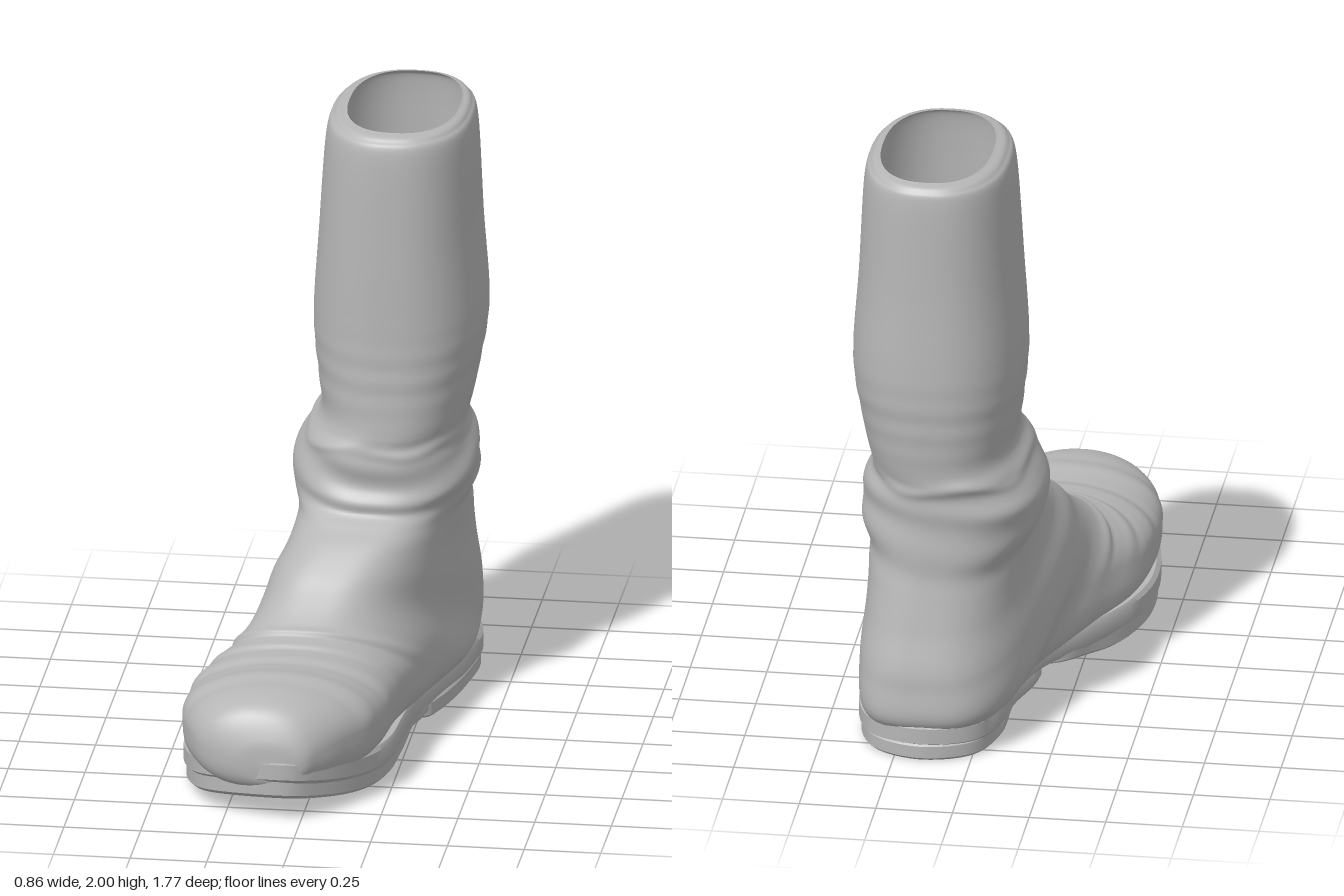
import * as THREE from 'three';
import { toCreasedNormals } from 'three/addons/utils/BufferGeometryUtils.js';

const grey = new THREE.MeshStandardMaterial({ color: 0xb6b6b6, side: THREE.DoubleSide });
grey.name = 'grey leather';

// Shaft rings: [y, z front, z back, x centre, half width]
const SHAFT = [
  [2.0, -0.18, -0.75, 0.16, 0.18],
  [1.985, -0.14, -0.785, 0.155, 0.215],
  [1.92, -0.115, -0.803, 0.153, 0.24],
  [1.6, -0.105, -0.815, 0.15, 0.26],
  [1.3, -0.1, -0.83, 0.15, 0.278],
  [1.1, -0.095, -0.82, 0.145, 0.255],
  [1.0, -0.09, -0.81, 0.14, 0.24],
  [0.93, -0.085, -0.805, 0.115, 0.25],
  [0.87, -0.085, -0.8, 0.108, 0.278],
  [0.78, -0.075, -0.8, 0.105, 0.3],
];
// Foot sections fan round the ankle:
// [y, z, x of the instep end | y, z, x of the heel or sole end | half width, squareness of each end]
const FOOT = [
  [0.71, -0.045, 0.08, 0.62, -0.805, 0.135, 0.262, 2.7, 2.5],
  [0.65, 0.05, 0.04, 0.44, -0.836, 0.155, 0.255, 2.8, 2.9],
  [0.59, 0.125, 0.0, 0.26, -0.872, 0.165, 0.27, 2.8, 3.1],
  [0.53, 0.19, -0.03, 0.1, -0.843, 0.165, 0.275, 2.7, 3.3],
  [0.475, 0.26, -0.06, 0.08, -0.5, 0.15, 0.28, 2.5, 3.8],
  [0.435, 0.33, -0.08, 0.08, -0.1, 0.03, 0.3, 2.2, 3.8],
  [0.415, 0.4, -0.09, 0.08, 0.2, -0.07, 0.322, 2.1, 3.8],
  [0.405, 0.5, -0.1, 0.08, 0.45, -0.1, 0.325, 2.05, 3.7],
  [0.41, 0.61, -0.11, 0.09, 0.62, -0.11, 0.305, 2.05, 3.5],
  [0.395, 0.74, -0.125, 0.1, 0.74, -0.125, 0.25, 2.05, 3.2],
  [0.36, 0.82, -0.13, 0.1, 0.82, -0.13, 0.19, 2.1, 2.6],
  [0.28, 0.865, -0.11, 0.13, 0.865, -0.11, 0.115, 2.1, 2.3],
  [0.2, 0.877, -0.1, 0.19, 0.877, -0.1, 0.01, 2, 2],
];

const smooth = THREE.MathUtils.smoothstep;
const bump = (v, mid, half) => Math.exp(-(((v - mid) / half) ** 2));

// Fractional swelling for leather folds, toe creases and the heel counter
function folds(p, a) {
  const ankle = smooth(p.y, 0.6, 0.7) * (1 - smooth(p.y, 0.92, 0.98));
  const slant = p.y + 0.05 * Math.cos(a) + 0.03 * Math.sin(2 * a + 1);
  let s = 0.022 * ankle * Math.sin(slant * 48) * (0.7 + 0.3 * Math.sin(3 * a + 2));
  s += 0.025 * bump(p.y + 0.012 * Math.sin(5 * a), 0.925, 0.022);
  s += 0.004 * bump(p.y, 1.18, 0.12) * Math.sin(p.y * 70 + 2 * Math.cos(a));
  const top = smooth(Math.cos(a), -0.2, 0.6);
  const across = p.z - 0.25 * p.x;
  for (const z of [0.03, 0.22, 0.4, 0.62]) {
    s += top * (1 - smooth(p.y, 0.66, 0.72)) * (0.02 * bump(across, z, 0.04) - 0.018 * bump(across, z + 0.07, 0.028));
  }
  const seam = -0.24 - (p.y - 0.18) * 0.8 - p.z;
  return s + 0.03 * smooth(seam, 0, 0.03) * (1 - smooth(p.y, 0.45, 0.65));
}

// Closed rings of points, listed in order, joined into a surface
function joinRings(pos, sides) {
  const index = [], rings = pos.length / 3 / sides;
  for (let i = 0; i < rings - 1; i++) {
    for (let j = 0; j < sides; j++) {
      const k = i * sides, n = (j + 1) % sides;
      index.push(k + j, k + sides + j, k + n, k + n, k + sides + j, k + sides + n);
    }
  }
  const geo = new THREE.BufferGeometry();
  geo.setAttribute('position', new THREE.Float32BufferAttribute(pos, 3));
  geo.setIndex(index);
  geo.computeVertexNormals();
  return geo;
}

function bootUpper() {
  const rows = [...SHAFT.map(([y, f, b, x, w]) => [y, f, x, y, b, x, w, 2.4, 2.4]), ...FOOT];
  const curve = (f) => new THREE.CatmullRomCurve3(rows.map(f), false, 'catmullrom', 0.5);
  const inner = curve((r) => new THREE.Vector3(r[2], r[0], r[1]));
  const outer = curve((r) => new THREE.Vector3(r[5], r[3], r[4]));
  const form = curve((r) => new THREE.Vector3(r[6], r[7], r[8]));
  const rings = 264, sides = 96, pos = [];
  for (let i = 0; i <= rings; i++) {
    const A = inner.getPoint(i / rings), B = outer.getPoint(i / rings), F = form.getPoint(i / rings);
    const mid = A.clone().add(B).multiplyScalar(0.5), half = A.clone().sub(mid);
    for (let j = 0; j < sides; j++) {
      const a = (j / sides) * Math.PI * 2, c = Math.cos(a), s = Math.sin(a);
      const e = 2 / (c > 0 ? F.y : F.z);
      const offset = half.clone().multiplyScalar(Math.sign(c) * Math.abs(c) ** e);
      offset.x += F.x * Math.sign(s) * Math.abs(s) ** e;
      const p = mid.clone().add(offset);
      p.copy(mid).addScaledVector(offset, 1 + folds(p, a));
      pos.push(p.x, p.y, p.z);
    }
  }
  return joinRings(pos, sides);
}

// Plan outlines as [x, z], anticlockwise from above
const WELT = [
  [0.16, -0.875], [-0.01, -0.815], [-0.08, -0.64], [-0.09, -0.4], [-0.15, -0.2], [-0.28, 0], [-0.385, 0.2],
  [-0.43, 0.4], [-0.41, 0.6], [-0.33, 0.78], [-0.18, 0.86], [-0.03, 0.88], [0.08, 0.78], [0.18, 0.6],
  [0.235, 0.4], [0.25, 0.2], [0.265, 0], [0.31, -0.2], [0.375, -0.45], [0.39, -0.66], [0.325, -0.815],
];
const TREAD = [
  [-0.17, -0.13], [-0.28, 0.02], [-0.38, 0.2], [-0.42, 0.4], [-0.4, 0.6], [-0.32, 0.77], [-0.175, 0.85],
  [-0.035, 0.865], [0.07, 0.77], [0.17, 0.6], [0.225, 0.4], [0.24, 0.2], [0.25, 0], [0.28, -0.13],
];
const HEEL = [
  [0.16, -0.865], [0.0, -0.805], [-0.07, -0.64], [-0.08, -0.4], [-0.13, -0.2], [-0.12, -0.13],
  [0.27, -0.13], [0.31, -0.2], [0.37, -0.45], [0.382, -0.66], [0.315, -0.805],
];

// Slab between two heights, bent up at the toe and, for the tread, under the arch
function slab(outline, y0, y1, bevel, arch = 0) {
  const points = outline.map(([x, z]) => new THREE.Vector3(x, 0, z));
  const centre = points.reduce((sum, p) => sum.add(p), new THREE.Vector3()).divideScalar(points.length);
  const sides = 110, rim = new THREE.CatmullRomCurve3(points, true).getPoints(sides).slice(0, sides);
  // Each profile step is [share of the outline, height]
  const steps = [0, 0.2, 0.4, 0.6, 0.8, 0.97];
  const profile = [
    ...steps.map((f) => [f, y1]), [1, y1 - bevel], [1, y0 + bevel], ...steps.map((f) => [f, y0]).reverse(),
  ];
  const pos = [];
  for (const [f, y] of profile) {
    for (const r of rim) {
      const p = centre.clone().lerp(r, f);
      const toe = 0.085 * Math.max(0, (p.z - 0.3) / 0.57) ** 2;
      pos.push(p.x, y + toe + arch * (1 - smooth(p.z, -0.13, 0.12)), p.z);
    }
  }
  return toCreasedNormals(joinRings(pos, sides), 0.6);
}

export function createModel() {
  const boot = new THREE.Group();
  boot.name = 'boot';
  const add = (name, geo) => {
    const mesh = new THREE.Mesh(geo, grey);
    mesh.name = name;
    boot.add(mesh);
  };
  add('upper', bootUpper());
  add('welt', slab(WELT, 0.05, 0.13, 0.014));
  add('frontTread', slab(TREAD, 0, 0.07, 0.01, 0.03));
  add('heelBlock', slab(HEEL, 0, 0.06, 0.01));
  return boot;
}
